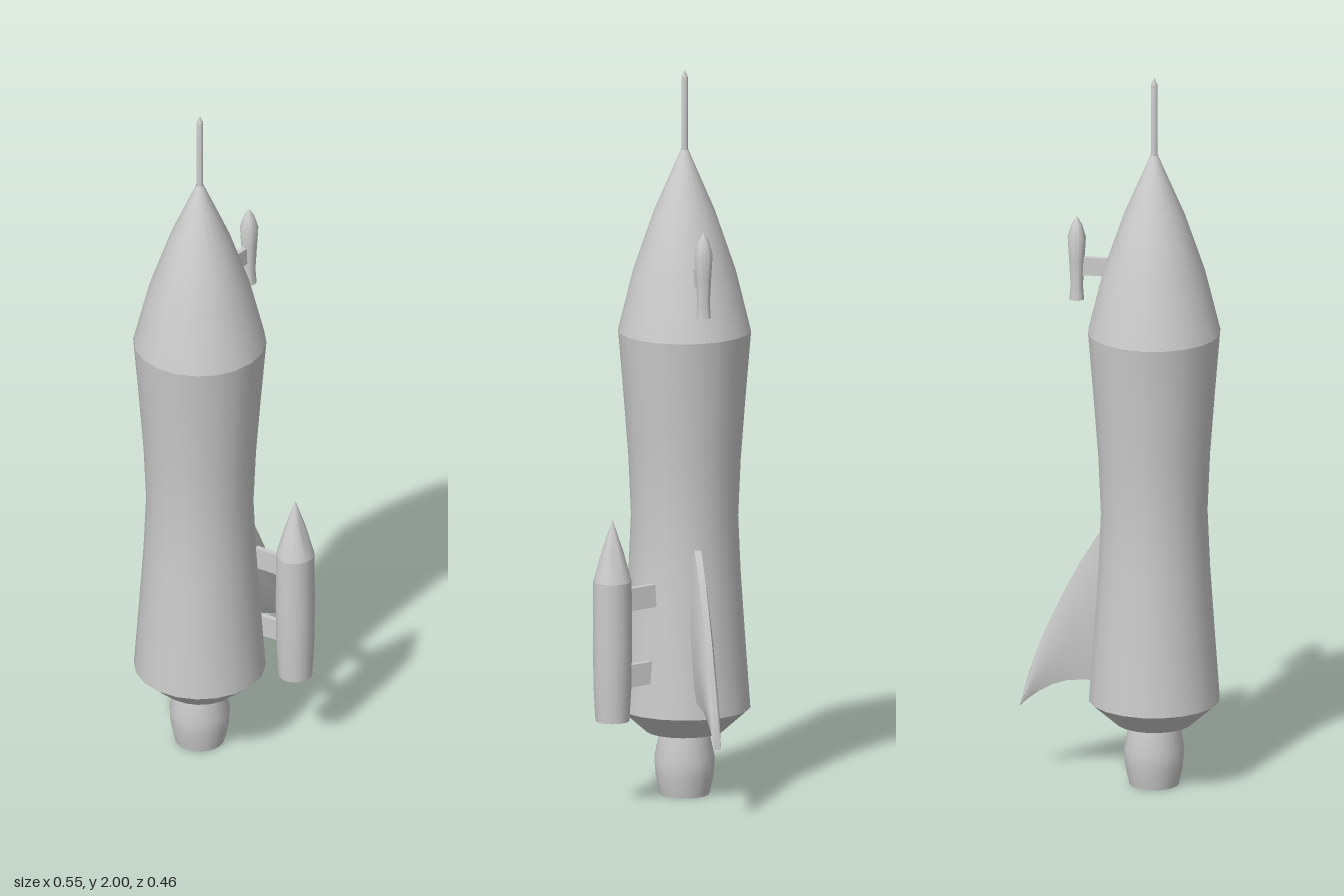
import * as THREE from 'three';
import { toCreasedNormals, mergeVertices } from 'three/addons/utils/BufferGeometryUtils.js';

const AX = -0.0975, AZ = -0.053; // hull axis
const material = new THREE.MeshStandardMaterial({ color: 0xcccccc, side: THREE.DoubleSide });

function add(parent, name, geometry, x = 0, y = 0, z = 0) {
  const mesh = new THREE.Mesh(geometry, material);
  mesh.name = name;
  mesh.position.set(x, y, z);
  parent.add(mesh);
  return mesh;
}

// Turned part from [radius, y] pairs, listed from bottom to top on the outside
function turned(parent, name, profile, x, z, sides = 20) {
  const points = profile.map(([r, y]) => new THREE.Vector2(r, y));
  const geometry = toCreasedNormals(new THREE.LatheGeometry(points, sides), 0.65);
  return add(parent, name, geometry, x, 0, z);
}

// Swept fin: lens-shaped loops from root to tip
function finGeometry() {
  // x, leading edge y, trailing edge y, half thickness
  const stations = [
    [0.035, 0.72, 0.285, 0.023], [0.06, 0.69, 0.285, 0.023], [0.1, 0.625, 0.284, 0.023],
    [0.14, 0.55, 0.28, 0.022], [0.18, 0.465, 0.266, 0.02], [0.215, 0.385, 0.246, 0.017],
    [0.245, 0.295, 0.223, 0.014], [0.27, 0.202, 0.199, 0.01],
  ];
  // position along the chord (1 = leading), share of the thickness
  const half = [[1, 0.4], [0.85, 0.72], [0.5, 1], [0.15, 0.72], [0, 0.4]];
  const loop = [...half, ...half.map(([c, t]) => [c, -t]).reverse()];
  const n = loop.length, positions = [], index = [];
  for (const [x, lead, trail, t] of stations)
    for (const [c, s] of loop) positions.push(x, trail + (lead - trail) * c, s * t);
  for (let i = 0; i < stations.length - 1; i++)
    for (let j = 0; j < n; j++) {
      const a = i * n + j, b = i * n + (j + 1) % n;
      index.push(a, b, a + n, b, b + n, a + n);
    }
  const last = (stations.length - 1) * n;
  for (let j = 1; j < n - 1; j++) {
    index.push(0, j + 1, j);
    index.push(last, last + j, last + j + 1);
  }
  const g = new THREE.BufferGeometry();
  g.setAttribute('position', new THREE.Float32BufferAttribute(positions, 3));
  g.setIndex(index);
  return toCreasedNormals(mergeVertices(g), 0.7);
}

export function createModel() {
  const rocket = new THREE.Group();
  rocket.name = 'rocket';

  // Waisted hull with a tapered underside
  turned(rocket, 'hull', [
    [0, 0.175], [0.105, 0.175], [0.178, 0.24], [0.165, 0.42], [0.152, 0.61],
    [0.145, 0.77], [0.152, 0.93], [0.165, 1.1], [0.18, 1.28],
  ], AX, AZ);
  turned(rocket, 'noseCone', [
    [0.18, 1.28], [0.138, 1.45], [0.083, 1.61], [0.01, 1.78],
  ], AX, AZ);
  turned(rocket, 'mast', [[0.009, 1.76], [0.009, 1.98], [0, 2]], AX, AZ, 12);

  // Hollow engine nozzle
  turned(rocket, 'nozzle', [
    [0, 0.06], [0.055, 0.05], [0.052, 0], [0.067, 0], [0.078, 0.05], [0.082, 0.1], [0.066, 0.18],
  ], AX, AZ);

  add(rocket, 'fin', finGeometry(), 0, 0, AZ);

  // Side booster on two struts
  const booster = new THREE.Group();
  booster.name = 'booster';
  rocket.add(booster);
  turned(booster, 'boosterTank', [
    [0, 0.27], [0.038, 0.265], [0.036, 0.24], [0.046, 0.24], [0.051, 0.33], [0.053, 0.45], [0.052, 0.625],
  ], 0.026, 0.178);
  turned(booster, 'boosterNose', [[0.052, 0.625], [0.029, 0.71], [0, 0.795]], 0.026, 0.178);
  for (const y of [0.362, 0.573]) {
    const strut = add(booster, 'boosterStrut', new THREE.BoxGeometry(0.014, 0.062, 0.09), 0.017, y, 0.1);
    strut.rotation.set(0.06, 0.21, 0, 'YXZ');
  }

  // Small pod on a pylon beside the nose
  const pod = new THREE.Group();
  pod.name = 'sidePod';
  rocket.add(pod);
  turned(pod, 'podBody', [
    [0, 1.37], [0.015, 1.37], [0.015, 1.36], [0.02, 1.36], [0.017, 1.4], [0.021, 1.47], [0.025, 1.535],
    [0.015, 1.57], [0, 1.595],
  ], 0.115, AZ, 16);
  add(pod, 'podPylon', new THREE.BoxGeometry(0.08, 0.05, 0.015), 0.07, 1.455, AZ);

  return rocket;
}
